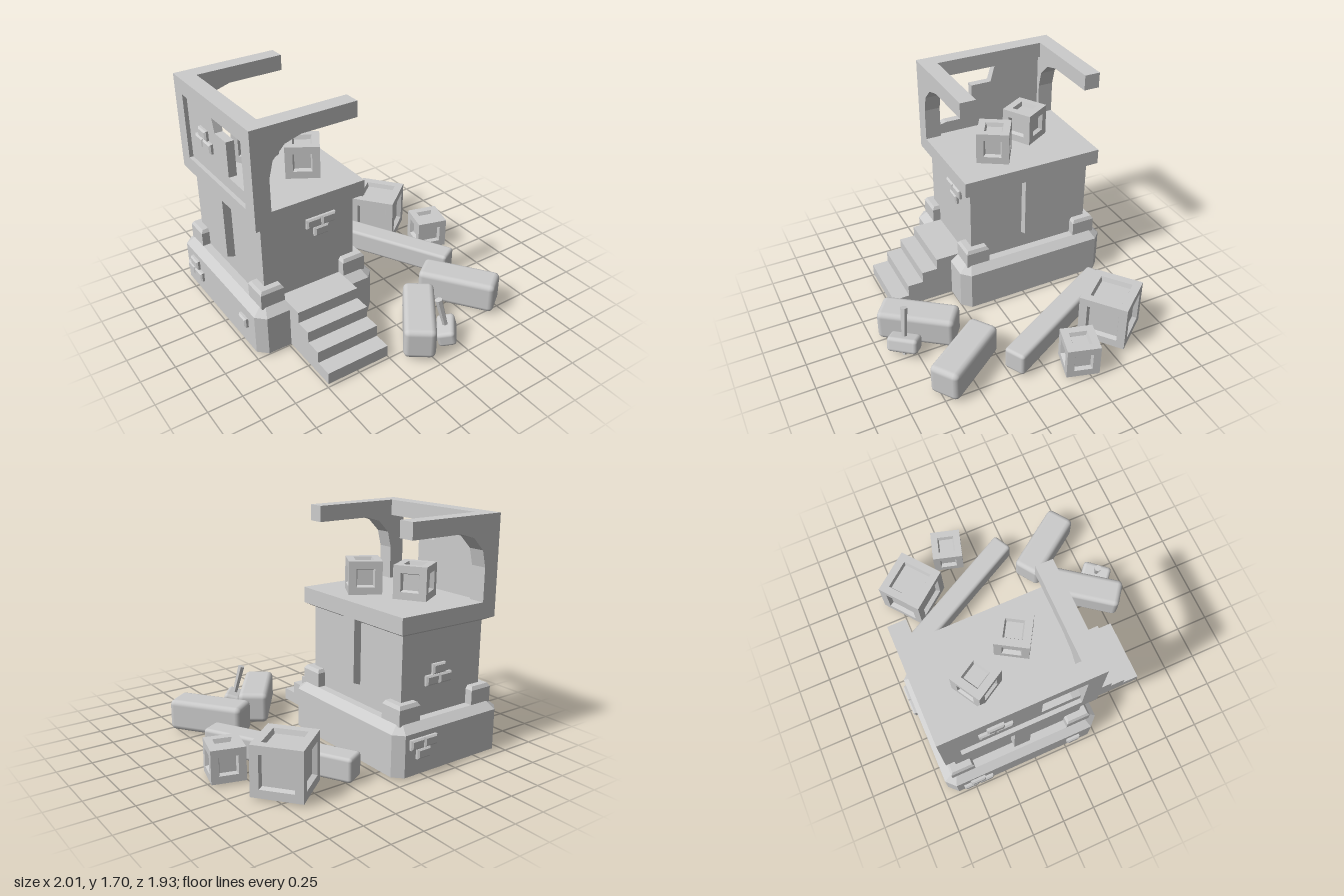
import * as THREE from 'three';
import { mergeGeometries } from 'three/addons/utils/BufferGeometryUtils.js';
import { RoundedBoxGeometry } from 'three/addons/geometries/RoundedBoxGeometry.js';

const flat = new THREE.MeshStandardMaterial({ color: 0xcccccc, flatShading: true });
const smooth = new THREE.MeshStandardMaterial({ color: 0xcccccc });

function add(parent, name, geometry, x = 0, y = 0, z = 0, rotY = 0, material = flat) {
  const mesh = new THREE.Mesh(geometry, material);
  mesh.name = name;
  mesh.position.set(x, y, z);
  mesh.rotation.y = rotY;
  parent.add(mesh);
  return mesh;
}

// Rectangle outline, counterclockwise from above, with optional cut corners
function ring([y, hx, hz, c = 0]) {
  const pts = c
    ? [[hx - c, hz], [hx, hz - c], [hx, c - hz], [hx - c, -hz], [c - hx, -hz], [-hx, c - hz], [-hx, hz - c], [c - hx, hz]]
    : [[hx, hz], [hx, -hz], [-hx, -hz], [-hx, hz]];
  return pts.map(([x, z]) => [x, y, z]);
}

// Solid through stacked rectangles [y, halfX, halfZ, cornerCut]
function loft(layers) {
  const rings = layers.map(ring), out = [], n = rings[0].length;
  const tri = (...p) => p.forEach(v => out.push(...v));
  for (let k = 0; k < rings.length - 1; k++) {
    for (let i = 0; i < n; i++) {
      const j = (i + 1) % n, a = rings[k], b = rings[k + 1];
      tri(a[i], a[j], b[j]);
      tri(a[i], b[j], b[i]);
    }
  }
  const bottom = rings[0], top = rings[rings.length - 1];
  for (let i = 1; i < n - 1; i++) {
    tri(top[0], top[i], top[i + 1]);
    tri(bottom[0], bottom[i + 1], bottom[i]);
  }
  const g = new THREE.BufferGeometry();
  g.setAttribute('position', new THREE.Float32BufferAttribute(out, 3));
  g.computeVertexNormals();
  return g;
}

function extrude(points, depth) {
  const shape = new THREE.Shape(points.map(p => new THREE.Vector2(...p)));
  return new THREE.ExtrudeGeometry(shape, { depth, bevelEnabled: false });
}

// Profile given as (z, y), extruded from x1 towards -x
const extrudeSide = (points, x1, depth) => extrude(points, depth).rotateY(-Math.PI / 2).translate(x1, 0, 0);

// Cube with a sunken panel in each face
function crateGeometry(size, border, depth) {
  const h = size / 2, a = h - border, r = Math.SQRT2;
  const face = () => new THREE.LatheGeometry(
    [[h * r, h], [a * r, h], [(a - 0.01) * r, h - depth], [0, h - depth]].map(p => new THREE.Vector2(...p)),
    4, Math.PI / 4);
  const faces = [0, 1, 2, 3].map(i => face().rotateX(i * Math.PI / 2));
  faces.push(face().rotateZ(Math.PI / 2), face().rotateZ(-Math.PI / 2));
  return mergeGeometries(faces);
}

// Cluster of raised bricks facing local +z; each entry is an [x, y] offset
function brickPatch(parent, name, x, y, z, rotY, offsets, halfWidth = 0.057) {
  const group = new THREE.Group();
  group.name = name;
  group.position.set(x, y, z);
  group.rotation.y = rotY;
  const h = 0.036;
  const geo = loft([[-0.01, halfWidth, h], [0.017, halfWidth, h], [0.028, halfWidth - 0.012, h - 0.012]]).rotateX(Math.PI / 2);
  offsets.forEach(([u, v]) => add(group, 'brick', geo, u, v, 0));
  parent.add(group);
}

export function createModel() {
  const model = new THREE.Group();
  model.name = 'ruinedTower';

  // Plinth with cut corners and sloped rim
  add(model, 'plinth', loft([[0.02, 0.48, 0.605, 0.065], [0.32, 0.48, 0.605, 0.065], [0.37, 0.42, 0.545, 0.03]]), -0.5, 0, -0.345);

  // Corner blocks on the plinth
  const block = loft([[0.36, 0.09, 0.09], [0.475, 0.09, 0.09], [0.5, 0.075, 0.075]]);
  for (const x of [-0.83, -0.17]) for (const z of [0.11, -0.8]) add(model, 'cornerBlock', block, x, 0, z);

  // Body, side pilasters and floor slab
  add(model, 'body', loft([[0.36, 0.36, 0.485], [0.97, 0.36, 0.485]]), -0.5, 0, -0.345);
  add(model, 'pilasters', loft([[0.5, 0.355, 0.06], [0.525, 0.42, 0.06], [1, 0.42, 0.06]]), -0.5, 0, -0.34);
  add(model, 'floorSlab', loft([[0.955, 0.36, 0.485], [0.985, 0.42, 0.545], [1.1, 0.42, 0.545]]), -0.5, 0, -0.345);

  // Front stairs
  const steps = [[0.15, 0.02], [0.74, 0.02]];
  [[0.74, 0.11], [0.615, 0.2], [0.495, 0.285], [0.375, 0.371]].forEach(([z, y], i, all) => {
    steps.push([z, y], [i < 3 ? all[i + 1][0] : 0.15, y]);
  });
  add(model, 'stairs', extrudeSide(steps, -0.26, 0.48));

  // Two arched brackets, tied by a beam along the side
  const bracket = extrude([[-0.92, 1.1], [-0.8, 1.1], [-0.8, 1.34], [-0.77, 1.46], [-0.68, 1.55],
    [-0.56, 1.585], [-0.14, 1.585], [-0.14, 1.7], [-0.92, 1.7]], 0.12);
  add(model, 'frontBracket', bracket, 0, 0, 0.08);
  add(model, 'backBracket', bracket, 0, 0, -0.89);
  add(model, 'sideBeam', new THREE.BoxGeometry(0.12, 0.115, 0.85), -0.86, 1.6425, -0.345);

  // Broken infill wall between the brackets
  add(model, 'brokenWall', extrudeSide([[-0.78, 1.09], [0.085, 1.09], [0.085, 1.175], [0.02, 1.19],
    [-0.2, 1.19], [-0.2, 1.45], [-0.36, 1.45], [-0.4, 1.59], [-0.78, 1.59]], -0.83, 0.06));

  // Raised brick clusters
  const twoOverOne = [[-0.058, 0.037], [0.058, 0.037], [0, -0.037]];
  const oneOverTwo = [[0, 0.037], [-0.058, -0.037], [0.058, -0.037]];
  brickPatch(model, 'frontBricks', -0.405, 0.835, 0.14, 0, twoOverOne);
  brickPatch(model, 'backBricks', -0.46, 0.65, -0.83, Math.PI, oneOverTwo);
  brickPatch(model, 'plinthBackBricks', -0.235, 0.21, -0.95, Math.PI, twoOverOne);
  brickPatch(model, 'plinthSideBricks', -0.98, 0.205, -0.72, -Math.PI / 2, oneOverTwo);
  brickPatch(model, 'plinthSingleBrick', -0.98, 0.21, 0.05, -Math.PI / 2, [[0, 0]], 0.05);
  brickPatch(model, 'wallBricks', -0.89, 1.35, -0.52, -Math.PI / 2, oneOverTwo);

  // Crates
  const smallCrate = crateGeometry(0.238, 0.053, 0.03);
  add(model, 'upperCrateBack', smallCrate, -0.53, 1.219, -0.5, 0.53);
  add(model, 'upperCrateFront', smallCrate, -0.35, 1.219, -0.155, -0.545);
  add(model, 'smallCrate', smallCrate, 0.855, 0.139, -0.225, -0.28);
  add(model, 'largeCrate', crateGeometry(0.357, 0.06, 0.035), 0.63, 0.1985, -0.615, 0.67);

  // Fallen rounded stones
  const stone = (w, h, l, r) => new RoundedBoxGeometry(w, h, l, 2, r);
  add(model, 'longStone', stone(0.165, 0.175, 1.14, 0.025), 0.455, 0.1075, -0.28, 0.49, smooth);
  const shortStone = stone(0.225, 0.235, 0.575, 0.04);
  add(model, 'rightStone', shortStone, 0.56, 0.1375, 0.52, 0.62, smooth);
  add(model, 'leftStone', shortStone, 0.07, 0.1375, 0.665, -0.64, smooth);

  // Mallet standing on its head, leaning with its handle up
  const mallet = new THREE.Group();
  mallet.name = 'mallet';
  mallet.position.set(0.19, 0.095, 0.827);
  const up = new THREE.Vector3(-0.08, 0.36, -0.05).normalize();
  mallet.quaternion.setFromUnitVectors(new THREE.Vector3(0, 1, 0), up);
  add(mallet, 'malletHead', stone(0.13, 0.115, 0.23, 0.028), 0, 0, 0, -0.7, smooth);
  add(mallet, 'malletHandle', new THREE.CylinderGeometry(0.027, 0.015, 0.37, 6), 0, 0.093, 0, -0.7);
  model.add(mallet);

  return model;
}
